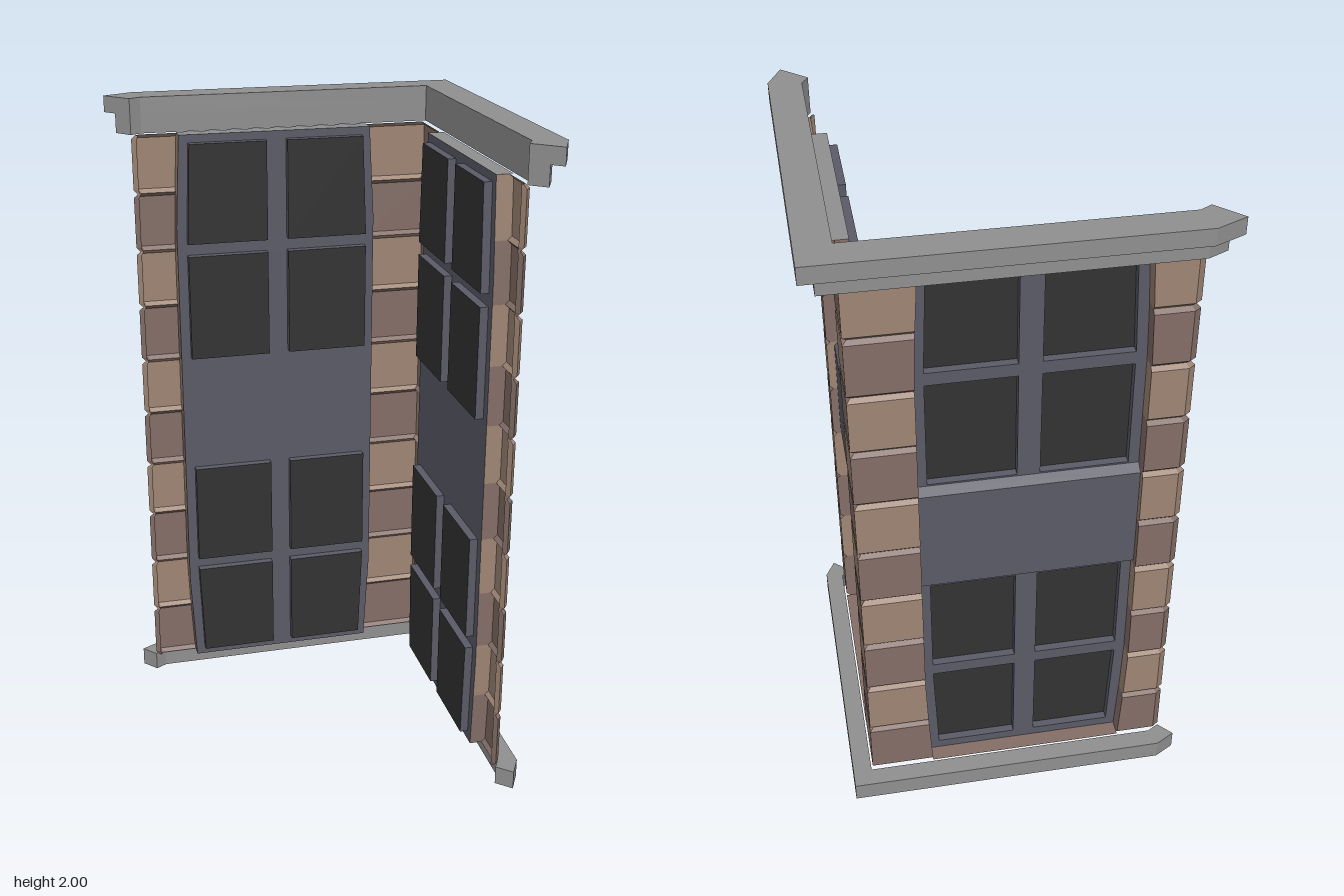
import * as THREE from 'three';

const mat = (color) => new THREE.MeshStandardMaterial({ color, flatShading: true, side: THREE.DoubleSide });
const trim = mat(0x909090), lightStone = mat(0x9e8574), darkStone = mat(0x846e67);
const frameMat = mat(0x5b5b68), glassMat = mat(0x333333);

const BASE = 0.06, TOP = 1.89, ROWS = 10;
const FACE = -0.455, FRAME = -0.405, GLASS = -0.38; // depths, from outside to inside
const MID = -0.045, HALF = 0.32;                    // window bay centre and half width

// The bay narrows slightly towards its top and bottom
const taper = (y) => 0.016 * Math.max(0, Math.min(1, Math.max((y - 1.6) / 0.29, (0.36 - y) / 0.3)));
const mirror = ([x, z]) => [-z, -x];
const withMirror = (half) => [...half, ...half.map(mirror).reverse()];

function add(group, name, geometry, material) {
  const mesh = new THREE.Mesh(geometry, material);
  mesh.name = name;
  group.add(mesh);
  return mesh;
}

// Surface through a stack of equally long polylines of [x, y, z] points
function skin(rings) {
  const pos = [];
  for (let r = 0; r + 1 < rings.length; r++) {
    const a = rings[r], b = rings[r + 1];
    for (let i = 0; i + 1 < a.length; i++) pos.push(...a[i], ...b[i], ...b[i + 1], ...a[i], ...b[i + 1], ...a[i + 1]);
  }
  const g = new THREE.BufferGeometry();
  g.setAttribute('position', new THREE.Float32BufferAttribute(pos, 3));
  g.computeVertexNormals();
  return g;
}

// Plan outline of [x, z] points raised from y0 to y1
function slab(plan, y0, y1) {
  const shape = new THREE.Shape(plan.map(([x, z]) => new THREE.Vector2(x, -z)));
  return new THREE.ExtrudeGeometry(shape, { depth: y1 - y0, bevelEnabled: false }).rotateX(-Math.PI / 2).translate(0, y0, 0);
}

// L-shaped moulding with angled ends
function moulding(outer, tipX, tipZ) {
  return withMirror([[-0.455, -0.46], [-0.49, -0.44], [tipX, tipZ], [-0.47, -outer], [outer, -outer]].slice(0, 4)
    .concat([[outer, -outer]])).filter((p, i) => i !== 5);
}

// Plans of the stone courses; d pulls the outline in at the joints
const endPlan = (y, d) => {
  const x = MID - HALF + taper(y);
  return [[-0.475 + d / 2, -0.43], [-0.49 + d, -0.44 + d / 2], [-0.47 + d / 2, FACE + d], [x, FACE + d], [x, FRAME]];
};
const cornerPlan = (y, d) => {
  const x = MID + HALF - taper(y), c = -FACE - d;
  return [[x, FRAME], [x, -c], [c, -c], [c, -x], [-FRAME, -x]];
};

function stoneColumn(name, plan, split) {
  const column = new THREE.Group();
  column.name = name;
  const h = (TOP - BASE) / ROWS, bevel = 0.012;
  for (let i = 0; i < ROWS; i++) {
    const y0 = BASE + i * h, y1 = y0 + h;
    const rings = [[y0, bevel], [y0 + bevel, 0], [y1 - bevel, 0], [y1, bevel]]
      .map(([y, d]) => plan(y, d).map(([x, z]) => [x, y, z]));
    const tones = i % 2 ? [lightStone, darkStone] : [darkStone, lightStone];
    if (split) {
      add(column, 'cornerStone', skin(rings.map((r) => r.slice(0, 3))), tones[0]);
      add(column, 'cornerStone', skin(rings.map((r) => r.slice(2))), tones[1]);
    } else add(column, 'endStone', skin(rings), tones[0]);
  }
  return column;
}

function windowBay() {
  const bay = new THREE.Group();
  bay.name = 'windowBay';
  const L = MID - HALF, R = MID + HALF;

  // Frame sheet with an opening for every pane (x reversed, then turned to face outward)
  const toPath = (pts, P) => new P(pts.map(([x, y]) => new THREE.Vector2(-x, y)));
  const edge = [BASE, 0.36, 1.6, TOP];
  const sheet = toPath([...edge.map((y) => [L + taper(y), y]), ...edge.reverse().map((y) => [R - taper(y), y])], THREE.Shape);
  for (const [y0, y1] of [[0.09, 0.405], [0.445, 0.78], [1.17, 1.51], [1.55, 1.865]]) {
    for (const side of [-1, 1]) {
      const at = (d, y) => [MID + side * d, y];
      const o = (y) => 0.289 - taper(y) * 0.85;
      let pts = [at(0.033, y0), at(o(y0), y0), at(o(y1), y1), at(0.033, y1)];
      if (side < 0) pts = [pts[1], pts[0], pts[3], pts[2]];
      sheet.holes.push(toPath(pts, THREE.Path));
      const ring = (z) => [...pts, pts[0]].map(([x, y]) => [x, y, z]);
      add(bay, 'paneReveal', skin([ring(FRAME), ring(GLASS)]), frameMat);
      const [a, b, c, d] = ring(GLASS);
      add(bay, 'glassPane', skin([[a, b], [d, c]]), glassMat);
    }
  }
  add(bay, 'windowFrame', new THREE.ShapeGeometry(sheet).rotateY(Math.PI).translate(0, 0, FRAME), frameMat);

  // Panel between the floors, with sloped upper and lower edges
  const line = (y, z) => [[L, y, z], [R, y, z]];
  add(bay, 'spandrelPanel', skin([line(0.788, FRAME), line(0.808, -0.43), line(1.145, -0.43), line(1.165, FRAME)]), frameMat);

  // Sill and soffit of the recess
  const ledge = (y) => [[L + taper(y), y, FACE], [R - taper(y), y, FACE]];
  const back = (y) => [[L + taper(y), y, FRAME], [R - taper(y), y, FRAME]];
  add(bay, 'sill', skin([back(BASE + 0.001), ledge(BASE + 0.001)].reverse()), darkStone);
  add(bay, 'soffit', skin([back(TOP), ledge(TOP)]), trim);
  return bay;
}

function wing(name) {
  const g = new THREE.Group();
  g.name = name;
  g.add(stoneColumn('endColumn', endPlan, false), windowBay());
  return g;
}

export function createModel() {
  const model = new THREE.Group();
  model.name = 'cornerFacade';

  // Base and two-step cornice run around both wings
  const inner = [0.46, -0.46];
  const run = (outer, tipX, tipZ) => [inner, ...moulding(outer, tipX, tipZ)];
  add(model, 'base', slab(run(0.518, -0.53, -0.485), 0, BASE), trim);
  add(model, 'lowerCornice', slab(run(0.515, -0.53, -0.485), TOP, 1.95), trim);
  add(model, 'upperCornice', slab(run(0.557, -0.56, -0.515), 1.95, 2), trim);

  model.add(stoneColumn('cornerColumn', cornerPlan, true));

  // Two wings, mirrored about the diagonal
  const sideWing = wing('leftWing');
  sideWing.scale.x = -1;
  sideWing.rotation.y = -Math.PI / 2;
  model.add(wing('backWing'), sideWing);
  return model;
}
